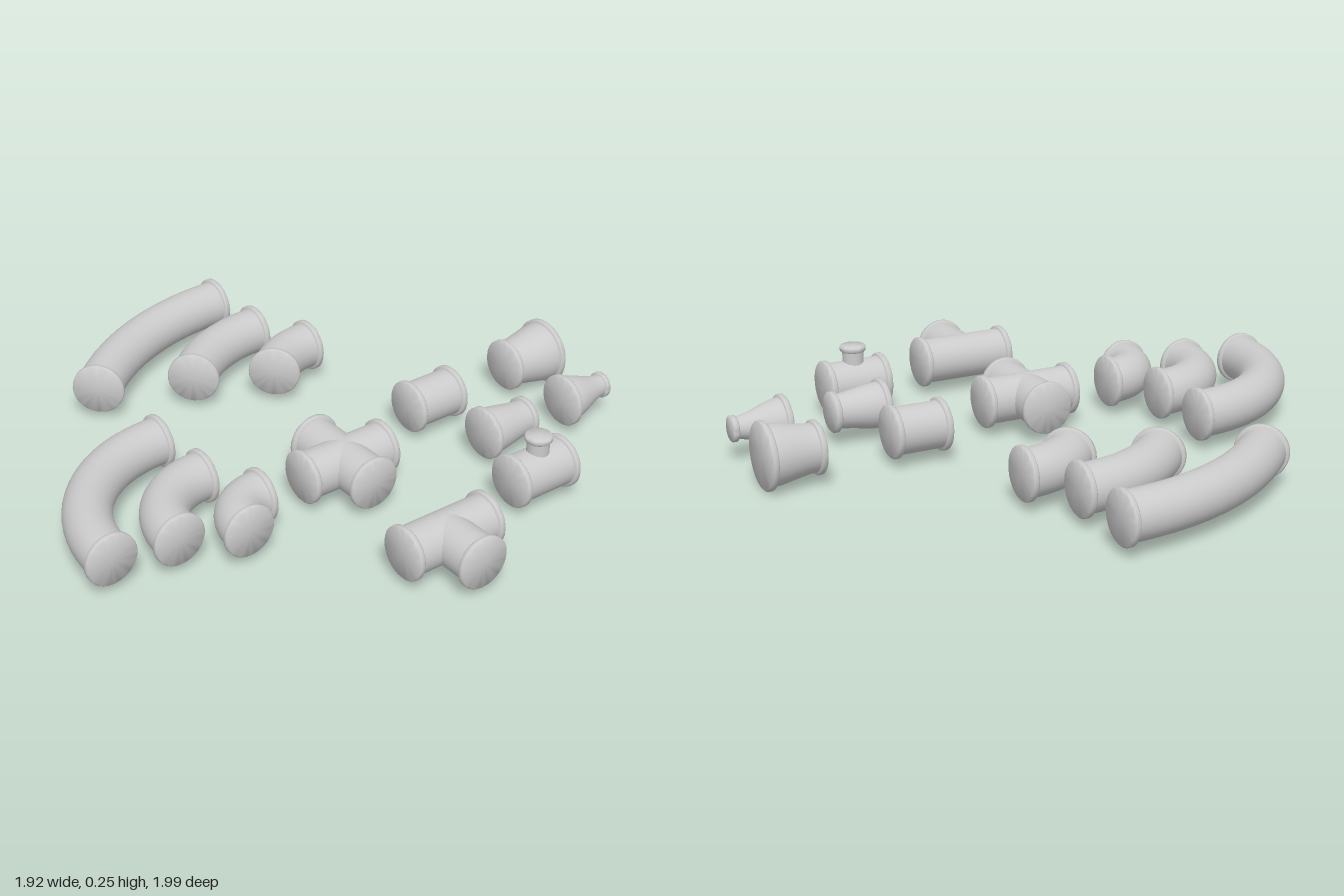
import * as THREE from 'three';
import { toCreasedNormals } from 'three/addons/utils/BufferGeometryUtils.js';

const SIDES = 32;
const AXIS_Y = 0.115; // height of every pipe axis
const PIPE = 0.0795; // body radius
const RIM = 0.09; // collar radius
const T = 0.021; // collar thickness
const material = new THREE.MeshStandardMaterial({ color: 0xcccccc });
const v = (x, y, z) => new THREE.Vector3(x, y, z);
const UP = v(0, 1, 0), BACK = v(0, 0, -1), FRONT = v(0, 0, 1), RIGHT = v(-1, 0, 0), LEFT = v(1, 0, 0);

function add(group, name, geometry, pos, dir = UP) {
  const mesh = new THREE.Mesh(geometry, material);
  mesh.name = name;
  mesh.position.copy(pos);
  mesh.quaternion.setFromUnitVectors(UP, dir);
  group.add(mesh);
}

// Closed collar whose outer face lies at `face`, looking along `dir`
function addCollar(group, face, dir, r = RIM) {
  const c = 0.004;
  const profile = [[0, -T], [r - c, -T], [r, -T + c], [r, -c], [r - c, 0], [0, 0]];
  const geo = new THREE.LatheGeometry(profile.map(([x, y]) => new THREE.Vector2(x, y)), SIDES);
  add(group, 'collar', toCreasedNormals(geo, 0.9), face, dir);
}

// Straight arm from `start`, ending in a collar
function addArm(group, start, dir, length, r = PIPE, rim = RIM) {
  const geo = new THREE.CylinderGeometry(r, r, length - T / 2, SIDES, 1, true);
  geo.translate(0, (length - T / 2) / 2, 0);
  add(group, 'pipe', geo, start, dir);
  addCollar(group, start.clone().addScaledVector(dir, length), dir, rim);
}

class Bend extends THREE.Curve {
  constructor(radius, angle) {
    super();
    this.radius = radius;
    this.angle = angle;
  }
  getPoint(t, target = new THREE.Vector3()) {
    const a = t * this.angle;
    return target.set(this.radius * (1 - Math.cos(a)), 0, this.radius * Math.sin(a));
  }
}

// Elbow starting at the back and turning towards +x
function elbow(name, x, z, radius, angle) {
  const g = new THREE.Group();
  g.name = name;
  const bend = new Bend(radius, angle);
  const steps = Math.round(angle / (Math.PI / 2) * 20);
  const start = v(x, 0, z + T);
  add(g, 'bend', new THREE.TubeGeometry(bend, steps, PIPE, SIDES), start);
  addCollar(g, v(x, 0, z), BACK);
  const out = v(Math.sin(angle), 0, Math.cos(angle));
  addCollar(g, bend.getPoint(1).add(start).addScaledVector(out, T), out);
  return g;
}

// Straight piece with arms in the given directions: [dir, length, radius, rim]
function junction(name, x, z, arms) {
  const g = new THREE.Group();
  g.name = name;
  for (const arm of arms) addArm(g, v(x, 0, z), ...arm);
  return g;
}

// Reducer flaring in an S curve from its back radius to its front radius
function reducer(name, x, zBack, zFront, backR, backRim) {
  const g = new THREE.Group();
  g.name = name;
  const length = zFront - zBack - T;
  const points = [];
  for (let i = 0; i <= 12; i++) {
    const t = i / 12;
    const r = THREE.MathUtils.lerp(backR, PIPE, t * t * (3 - 2 * t));
    points.push(new THREE.Vector2(r, t * length));
  }
  add(g, 'flare', new THREE.LatheGeometry(points, SIDES), v(x, 0, zBack + T / 2), FRONT);
  addCollar(g, v(x, 0, zBack), BACK, backRim);
  addCollar(g, v(x, 0, zFront), FRONT);
  return g;
}

export function createModel() {
  const model = new THREE.Group();
  model.name = 'pipeFittings';
  const half = Math.PI / 4, quarter = Math.PI / 2;

  // Elbows
  model.add(
    elbow('longHalfElbow', -0.866, -0.262, 0.915, half),
    elbow('mediumHalfElbow', -0.611, -0.262, 0.485, half),
    elbow('shortHalfElbow', -0.413, -0.352, 0.26, half),
    elbow('longElbow', -0.19, 0.418, 0.46, quarter),
    elbow('mediumElbow', 0.066, 0.418, 0.24, quarter),
    elbow('shortElbow', 0.264, 0.331, 0.13, quarter)
  );

  // Cross, tee, couplings
  model.add(
    junction('cross', 0.264, 0.013, [BACK, FRONT, LEFT, RIGHT].map((d) => [d, 0.168])),
    junction('tee', 0.777, 0.013, [[BACK, 0.168], [FRONT, 0.168], [LEFT, 0.183]]),
    junction('outletCoupling', 0.674, -0.452, [[BACK, 0.113], [FRONT, 0.113], [UP, 0.136, 0.037, 0.045]]),
    junction('coupling', 0.13, -0.458, [[BACK, 0.097], [FRONT, 0.097]])
  );

  // Reducers
  model.add(
    reducer('wideReducer', 0.111, -1, -0.807, 0.103, 0.114),
    reducer('narrowReducer', 0.405, -1, -0.807, 0.037, 0.045),
    reducer('mediumReducer', 0.405, -0.65, -0.455, 0.059, 0.07)
  );

  model.children.forEach((fitting) => { fitting.position.y = AXIS_Y; });
  return model;
}
